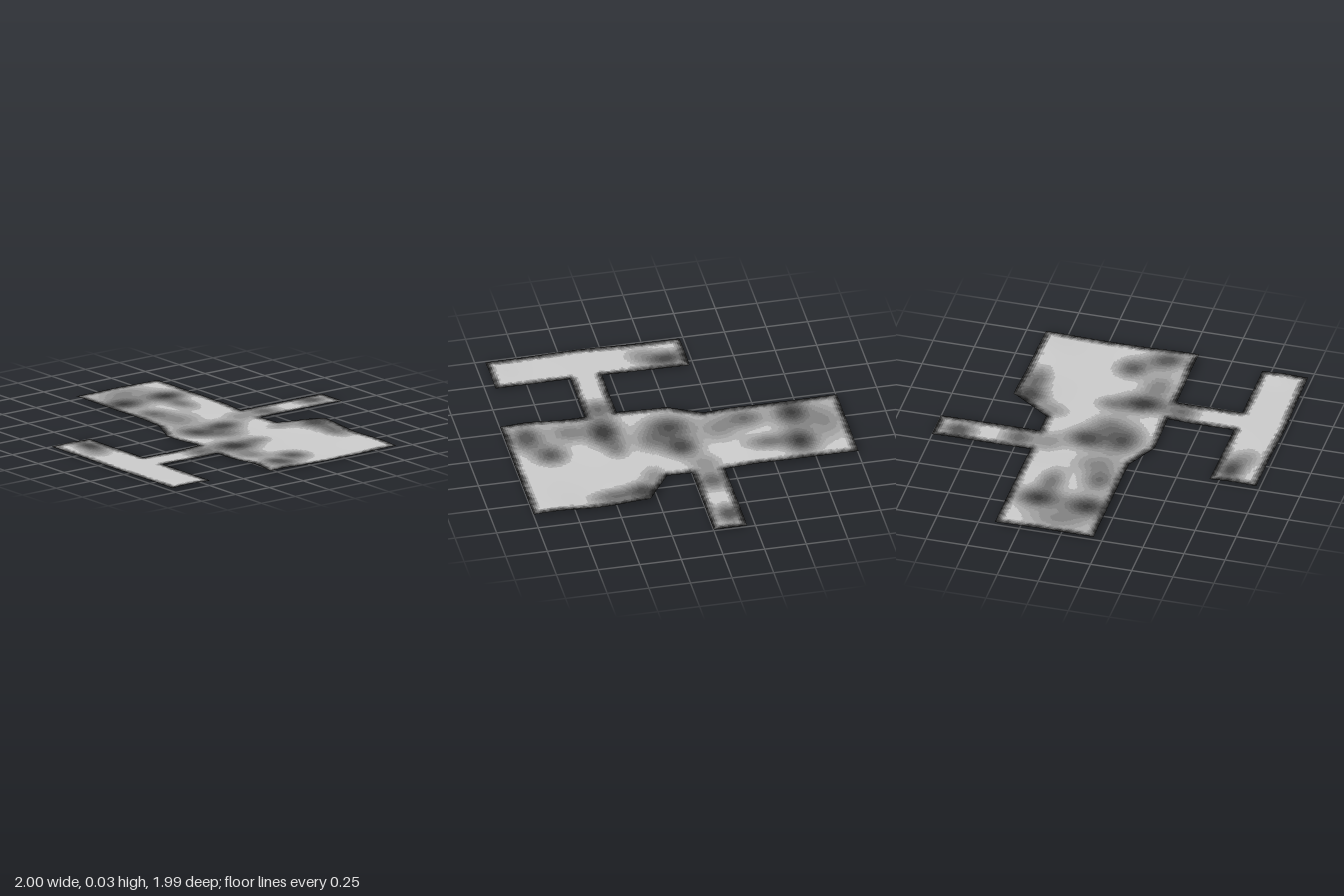
import * as THREE from 'three';

const { lerp, clamp, smoothstep } = THREE.MathUtils;
const SHADES = 14;
const CELL = 0.0125;

// Grey steps from the black rim to the bare ground
const materials = Array.from({ length: SHADES }, (_, k) => {
  const grey = 0.8 * (0.06 + 0.94 * k / (SHADES - 1));
  const color = new THREE.Color().setRGB(grey, grey, grey, THREE.SRGBColorSpace);
  return new THREE.MeshStandardMaterial({ color, side: THREE.DoubleSide });
});

// Outer edge of the whole sheet: [x, z]
const outline = [
  [-1, -0.4], [-0.2, -0.4], [-0.2, -1], [0, -1], [0, -0.4], [0.15, -0.4],
  [0.3, -0.64], [0.49, -0.64], [1, -0.63], [1, 0.3], [0.49, 0.3], [0.49, 0.7],
  [0.94, 0.7], [0.94, 0.978], [0.7, 0.98], [0.4, 0.99], [0.1, 0.98], [-0.225, 0.978],
  [-0.225, 0.695], [0.3, 0.7], [0.3, 0.3], [0, 0.3], [-0.2, 0.2], [-1, 0.2],
].map(([x, z]) => new THREE.Vector3(x, 0, z));
const edges = outline.map((p, i) => new THREE.Line3(p, outline[(i + 1) % outline.length]));

// Low swells of the ground: [x, z, height, radius]
const swells = [
  [0.3, -0.62, 0.022, 0.2], [0.85, 0.22, 0.02, 0.15], [0.3, 0.22, 0.012, 0.15],
  [0.4, 0.86, 0.004, 0.35], [0.85, -0.6, 0.012, 0.18], [-0.08, 0, -0.008, 0.15],
  [-0.2, 0.84, 0.006, 0.1], [0.9, 0.84, 0.006, 0.1], [-0.1, -0.85, 0.004, 0.12],
  [-0.95, -0.1, 0.004, 0.2], [-0.6, 0.1, -0.003, 0.2], [0.7, -0.1, -0.004, 0.2],
];

// Dark stains: [x, z, strength, radius in x, radius in z]
const stains = [
  [-0.69, -0.22, 0.75, 0.1, 0.13], [-0.7, 0.08, 0.75, 0.11, 0.14], [-0.5, -0.19, 0.45, 0.13, 0.08],
  [-0.42, 0.08, 0.5, 0.12, 0.1], [-0.88, -0.05, 0.35, 0.12, 0.2], [-0.25, 0.02, 0.35, 0.12, 0.14],
  [0, -0.11, 0.7, 0.1, 0.12], [0.03, 0.1, 0.65, 0.14, 0.12], [-0.1, -0.32, 0.3, 0.1, 0.1],
  [0.15, -0.02, 0.4, 0.12, 0.12], [0.42, 0.12, 0.8, 0.1, 0.14], [0.38, -0.06, 0.35, 0.07, 0.1],
  [0.32, -0.55, 0.7, 0.1, 0.1], [0.5, -0.55, 0.5, 0.14, 0.08], [0.22, -0.38, 0.3, 0.08, 0.1],
  [0.77, -0.04, 0.6, 0.1, 0.1], [0.88, 0.14, 0.65, 0.1, 0.12], [0.62, 0.16, 0.4, 0.12, 0.1],
  [-0.12, -0.86, 0.65, 0.08, 0.1], [-0.1, -0.5, 0.55, 0.1, 0.1], [0.4, 0.36, 0.5, 0.1, 0.1],
  [-0.1, 0.79, 0.7, 0.13, 0.08], [0.04, 0.86, 0.25, 0.1, 0.08],
];

function groundHeight(x, z) {
  // The left wing lies slightly higher than the rest
  const wing = z < 0.5 ? 1 - smoothstep(x, -0.4, -0.15) : 0;
  const arm = smoothstep(z, -0.6, -0.4);
  return Math.max(0, swells.reduce((y, [cx, cz, h, r]) =>
    y + h * Math.exp(-((x - cx) ** 2 + (z - cz) ** 2) / (r * r)), 0.009 + 0.011 * wing * arm));
}

function shadeAt(x, z) {
  const point = new THREE.Vector3(x, 0, z), nearest = new THREE.Vector3();
  const rimDistance = Math.min(...edges.map((e) =>
    e.closestPointToPoint(point, true, nearest).distanceTo(point)));
  // Uneven inner border of the dark rim
  const ragged = 0.008 * Math.sin(x * 61 + 2 * Math.sin(z * 37)) * Math.sin(z * 67 + 2 * Math.sin(x * 41));
  let tone = smoothstep(rimDistance + ragged, -0.012, 0.06);
  for (const [cx, cz, strength, rx, rz] of stains) {
    tone *= 1 - strength * Math.exp(-(((x - cx) / rx) ** 2) - ((z - cz) / rz) ** 2);
  }
  return Math.round(clamp(tone, 0, 1) * (SHADES - 1));
}

// Sheet between a back and a front edge, from stations [x, zBack, zFront]
function sheet(name, stations, rows) {
  const columns = [];
  for (let i = 0; i < stations.length - 1; i++) {
    const a = stations[i], b = stations[i + 1];
    const n = Math.ceil((b[0] - a[0]) / CELL);
    for (let k = 0; k < n; k++) columns.push(a.map((v, j) => lerp(v, b[j], k / n)));
  }
  columns.push(stations[stations.length - 1]);

  const positions = [], normals = [];
  const faces = materials.map(() => []);
  const normal = new THREE.Vector3(), e = 0.005;
  columns.forEach(([x, back, front], i) => {
    for (let j = 0; j <= rows; j++) {
      const z = lerp(back, front, j / rows);
      positions.push(x, groundHeight(x, z), z);
      normal.set(groundHeight(x - e, z) - groundHeight(x + e, z), 2 * e,
        groundHeight(x, z - e) - groundHeight(x, z + e)).normalize();
      normals.push(...normal);
      if (i < columns.length - 1 && j < rows) {
        const p = i * (rows + 1) + j, q = p + rows + 1;
        const [nextX, nextBack, nextFront] = columns[i + 1], t = (j + 0.5) / rows;
        const midZ = (lerp(back, front, t) + lerp(nextBack, nextFront, t)) / 2;
        faces[shadeAt((x + nextX) / 2, midZ)].push(p, p + 1, q, q, p + 1, q + 1);
      }
    }
  });

  // One mesh for each grey step
  const part = new THREE.Group();
  part.name = name;
  const position = new THREE.Float32BufferAttribute(positions, 3);
  const normalAttribute = new THREE.Float32BufferAttribute(normals, 3);
  faces.forEach((indices, k) => {
    if (!indices.length) return;
    const geometry = new THREE.BufferGeometry();
    geometry.setAttribute('position', position);
    geometry.setAttribute('normal', normalAttribute);
    geometry.setIndex(indices);
    const mesh = new THREE.Mesh(geometry, materials[k]);
    mesh.name = `${name}Shade${k}`;
    part.add(mesh);
  });
  return part;
}

export function createModel() {
  const group = new THREE.Group();
  group.name = 'groundSheet';

  // Wide central area with the slanted corners
  group.add(sheet('mainArea', [
    [-1, -0.4, 0.2], [-0.2, -0.4, 0.2], [0, -0.4, 0.3], [0.15, -0.4, 0.3],
    [0.3, -0.64, 0.3], [0.49, -0.64, 0.3], [1, -0.63, 0.3],
  ], 66));

  // Narrow arm to the back
  group.add(sheet('backArm', [[-0.2, -1, -0.4], [0, -1, -0.4]], 48));

  // Passage to the front and the crossing strip at its end
  group.add(sheet('frontPassage', [[0.3, 0.3, 0.7], [0.49, 0.3, 0.7]], 32));
  group.add(sheet('frontStrip', [
    [-0.225, 0.695, 0.978], [0.1, 0.698, 0.98], [0.3, 0.7, 0.987], [0.4, 0.7, 0.99],
    [0.49, 0.7, 0.987], [0.7, 0.7, 0.98], [0.94, 0.7, 0.978],
  ], 24));

  return group;
}
